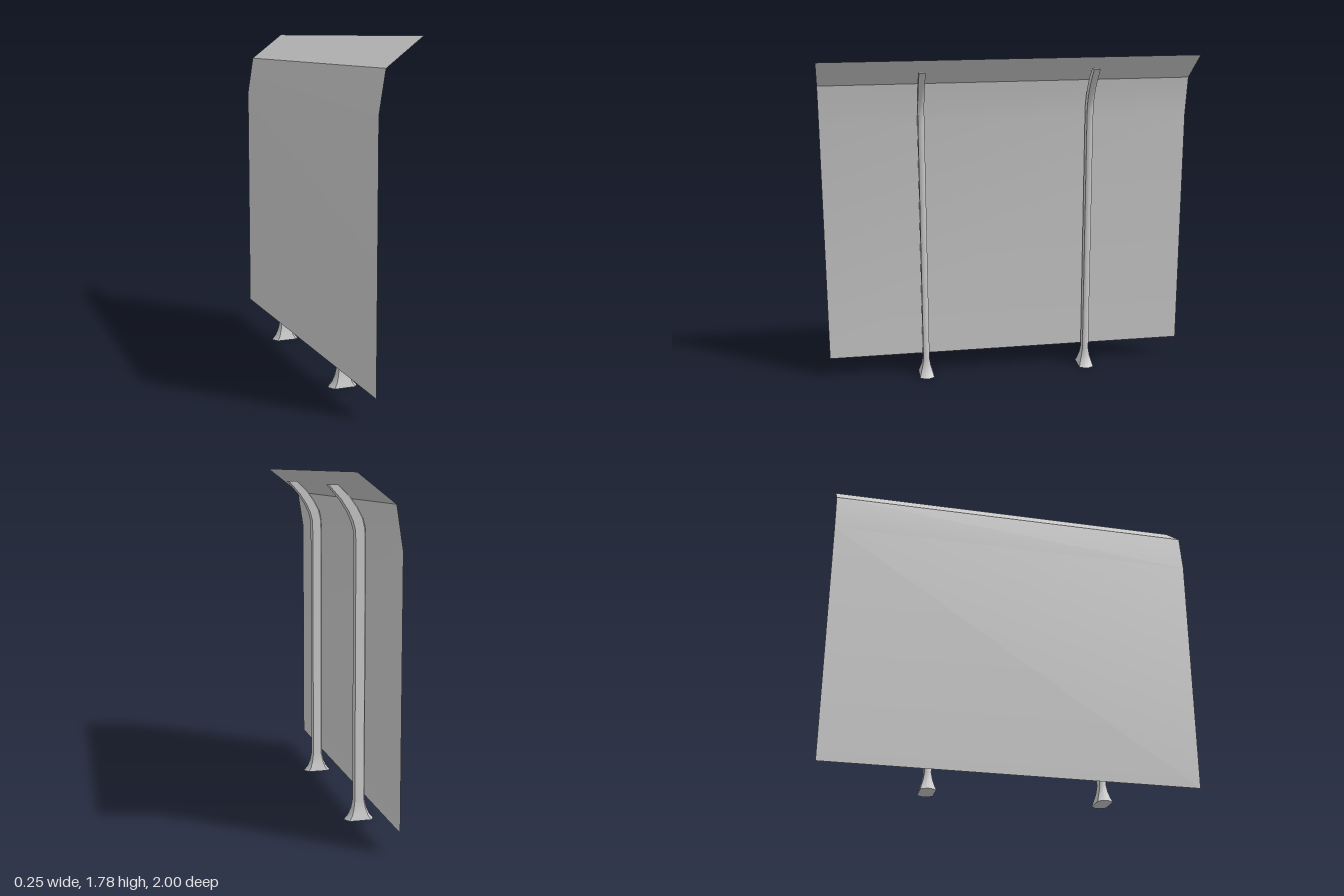
import * as THREE from 'three';
import { toCreasedNormals } from 'three/addons/utils/BufferGeometryUtils.js';

// Joins rings of equal length (arrays of [x, y, z]) into a surface
function loft(rings, closed) {
  const n = rings[0].length, index = [];
  const spans = closed ? n : n - 1;
  for (let r = 0; r < rings.length - 1; r++) {
    for (let i = 0; i < spans; i++) {
      const a = r * n + i, b = r * n + (i + 1) % n;
      index.push(a, b, b + n, a, b + n, a + n);
    }
  }
  if (closed) {
    const top = (rings.length - 1) * n;
    for (let i = 1; i < n - 1; i++) {
      index.push(0, i + 1, i);
      index.push(top, top + i, top + i + 1);
    }
  }
  const g = new THREE.BufferGeometry();
  g.setAttribute('position', new THREE.Float32BufferAttribute(rings.flat(2), 3));
  g.setIndex(index);
  return toCreasedNormals(g, 0.6);
}

// Elongated eight-sided cross-section, in half widths
const section = [
  [1, 0.2], [1, -0.2], [0.75, -1], [-0.75, -1],
  [-1, -0.2], [-1, 0.2], [-0.75, 1], [0.75, 1],
];

// Post stations: back x, back y, front x, front y, half depth in z
const stations = [
  [-0.128, 0, 0.025, 0, 0.04],
  [-0.107, 0.025, 0.004, 0.025, 0.033],
  [-0.092, 0.06, -0.011, 0.06, 0.023],
  [-0.083, 0.1, -0.019, 0.1, 0.017],
  [-0.083, 1.406, -0.019, 1.406, 0.017],
  [-0.08, 1.5, -0.017, 1.49, 0.017],
  [-0.068, 1.55, -0.005, 1.535, 0.017],
  [-0.04, 1.605, 0.018, 1.585, 0.017],
  [0, 1.66, 0.055, 1.642, 0.017],
  [0.06, 1.717, 0.12, 1.717, 0.017],
];

export function createModel() {
  const group = new THREE.Group();
  const postMaterial = new THREE.MeshStandardMaterial({ color: 0xcccccc });
  const sheetMaterial = new THREE.MeshStandardMaterial({ color: 0xcccccc, side: THREE.DoubleSide });

  // Curved posts with flared feet
  const postGeometry = loft(stations.map(([x0, y0, x1, y1, d]) =>
    section.map(([u, v]) => [
      (x0 + x1) / 2 + u * (x1 - x0) / 2,
      (y0 + y1) / 2 + u * (y1 - y0) / 2,
      v * d,
    ])), true);
  [['leftPost', 0.468], ['rightPost', -0.444]].forEach(([name, z]) => {
    const post = new THREE.Mesh(postGeometry, postMaterial);
    post.name = name;
    post.position.z = z;
    group.add(post);
  });

  // Thin folded sheet: upright wall, slight lean, sloping canopy
  const profile = [[-0.095, 0.11], [-0.095, 1.43], [-0.062, 1.64], [0.122, 1.783]];
  const sheet = new THREE.Mesh(
    loft(profile.map(([x, y]) => [[x, y, 1], [x, y, -1]]), false), sheetMaterial);
  sheet.name = 'windScreen';
  group.add(sheet);

  return group;
}
